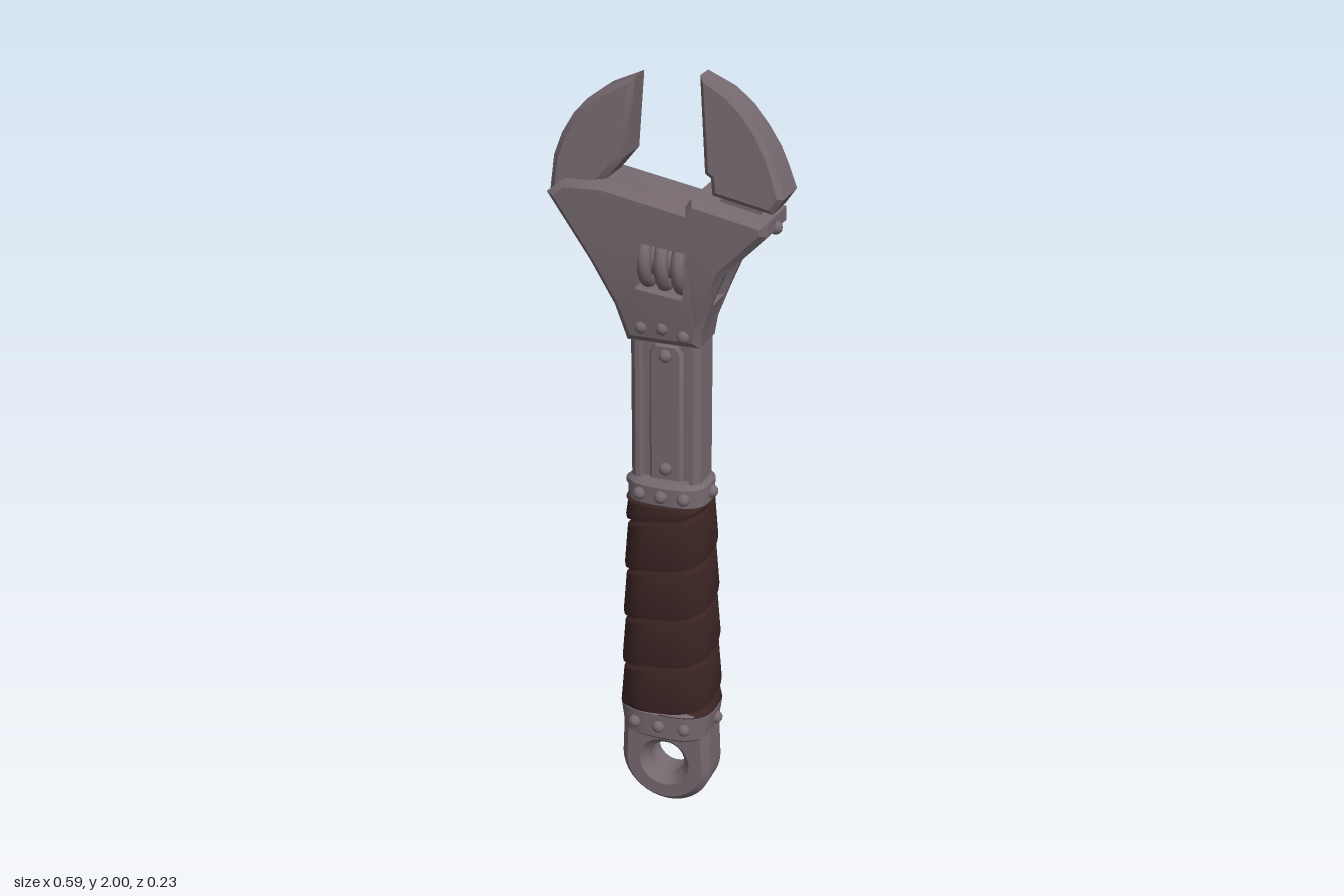
import * as THREE from 'three';
import { toCreasedNormals } from 'three/addons/utils/BufferGeometryUtils.js';

const steel = new THREE.MeshStandardMaterial({ color: 0x75696f });
steel.name = 'steel';
const leather = new THREE.MeshStandardMaterial({ color: 0x3a2423 });
leather.name = 'leather';

const { lerp, clamp, smoothstep } = THREE.MathUtils;
const v2 = (list) => list.map(([x, y]) => new THREE.Vector2(x, y));

// Bevelled plate centred on z, then moved to z and thinned by a rule scale(x, y)
function plate(points, z0, z1, bevel, holes = [], scale = null) {
  const shape = new THREE.Shape(v2(points));
  shape.holes = holes.map((h) => new THREE.Path(v2(h)));
  const geo = new THREE.ExtrudeGeometry(shape, {
    depth: z1 - z0 - 2 * bevel, bevelEnabled: bevel > 0, bevelThickness: bevel,
    bevelSize: bevel * 0.9, bevelOffset: -bevel * 0.9, bevelSegments: 1,
  });
  geo.translate(0, 0, z0 + bevel);
  if (scale) {
    const p = geo.attributes.position;
    for (let i = 0; i < p.count; i++) p.setZ(i, p.getZ(i) * scale(p.getX(i), p.getY(i)));
  }
  return toCreasedNormals(geo, 0.5);
}

// Surface from a grid of points fn(column, row)
function grid(cols, rows, fn) {
  const pos = [], idx = [];
  for (let j = 0; j <= rows; j++) for (let i = 0; i <= cols; i++) pos.push(...fn(i, j));
  for (let j = 0; j < rows; j++) for (let i = 0; i < cols; i++) {
    const a = j * (cols + 1) + i, d = a + cols + 1;
    idx.push(a, a + 1, d + 1, a, d + 1, d);
  }
  const geo = new THREE.BufferGeometry();
  geo.setAttribute('position', new THREE.Float32BufferAttribute(pos, 3));
  geo.setIndex(idx);
  return toCreasedNormals(geo, 0.6);
}

// Point on a rounded-box cross-section, angle from the front towards +x
function oval(t, a, b) {
  const f = (v) => Math.sign(v) * Math.abs(v) ** (2 / 3);
  return [a * f(Math.sin(t)), b * f(Math.cos(t))];
}

// Stack of oval rings [y, half width, half depth]
const loft = (rings) => grid(48, rings.length - 1, (i, j) => {
  const [y, a, b] = rings[j];
  const [x, z] = oval(i / 48 * Math.PI * 2, a, b);
  return [x, y, z];
});

const circle = (cx, cy, r, n) => Array.from({ length: n }, (_, i) => {
  const t = i / n * Math.PI * 2;
  return [cx + r * Math.cos(t), cy + r * Math.sin(t)];
});

export function createModel() {
  const model = new THREE.Group();
  model.name = 'adjustableWrench';
  const add = (name, geo, mat = steel, parent = model) => {
    const mesh = new THREE.Mesh(geo, mat);
    mesh.name = name;
    parent.add(mesh);
    return mesh;
  };
  const rivetGeo = new THREE.SphereGeometry(0.017, 12, 8);
  const rivet = (x, y, z) => add('rivet', rivetGeo).position.set(x, y, z);

  // Hanging eye with a countersunk hole
  const eye = [[0.12, 0.25], [-0.12, 0.25]];
  for (let i = 0; i <= 20; i++) {
    const t = Math.PI * (1 + i / 20);
    eye.push([0.125 * Math.cos(t), 0.128 + 0.125 * Math.sin(t)]);
  }
  add('hangingEye', plate(eye, -0.06, 0.06, 0.022, [circle(0, 0.13, 0.05, 28)]));

  // Collars at both ends of the grip
  const collar = (name, y0, y1, a, b, taper) => {
    const e = 0.01;
    add(name, loft([[y0, 0, 0], [y0, a - e - taper, b - e], [y0 + e, a - taper, b],
      [y1 - e, a, b], [y1, a - e, b - e], [y1, 0, 0]]));
    for (const s of [0, Math.PI]) for (const t of [-0.42, 0, 0.42, Math.PI / 2]) {
      const [x, z] = oval(t + s, a - taper / 2, b);
      rivet(x, (y0 + y1) / 2, z);
    }
  };
  collar('lowerCollar', 0.222, 0.308, 0.13, 0.1, 0.01);
  collar('upperCollar', 0.892, 0.96, 0.107, 0.08, 0);

  // Grip core and the leather strip wound around it
  const gripY0 = 0.3, gripY1 = 0.9;
  const size = (y, d) => {
    const k = (y - gripY0) / (gripY1 - gripY0);
    return [lerp(0.125, 0.106, k) + d, lerp(0.098, 0.09, k) + d];
  };
  const coreRings = [[gripY0, ...size(gripY0, -0.008)], [gripY1, ...size(gripY1, -0.008)],
    [gripY1, 0, 0]];
  add('gripCore', loft(coreRings), leather);
  const pitch = 0.14, turns = 6, perTurn = 48;
  const strip = [[0, -0.012], [0.03, 0.002], [0.12, 0.004], [0.9, -0.001], [1, -0.011]];
  add('gripWrap', grid(turns * perTurn, strip.length - 1, (i, j) => {
    const turn = i / perTurn;
    const y = clamp(gripY0 - pitch + pitch * (turn + strip[j][0]), gripY0, gripY1);
    const [x, z] = oval(turn * Math.PI * 2, ...size(y, strip[j][1]));
    return [x, y, z];
  }), leather);

  // Shaft: chamfered bar with a channel front and back
  const quarter = [[0.062, 0.036], [0.065, 0.055], [0.077, 0.055], [0.092, 0.04]];
  const flip = (sx, sz) => quarter.map(([x, z]) => [sx * x, sz * z]);
  const section = [...flip(1, 1).reverse(), ...flip(-1, 1),
    ...flip(-1, -1).reverse(), ...flip(1, -1)];
  const shaft = plate(section, 0, 0.46, 0);
  shaft.rotateX(-Math.PI / 2);
  add('shaft', shaft).position.y = 0.93;
  const panel = [[-0.045, 0.95], [0.045, 0.95], [0.045, 1.3], [0.03, 1.325],
    [-0.03, 1.325], [-0.045, 1.3]];
  add('shaftPanel', plate(panel, -0.046, 0.046, 0.008));

  // Head: two cheeks with a window around a slotted middle layer
  const left = [[-0.096, 1.33], [-0.125, 1.42], [-0.185, 1.53], [-0.295, 1.69],
    [-0.25, 1.725], [-0.15, 1.73]];
  const top = [[0.06, 1.69], [0.075, 1.715], [0.265, 1.675], [0.265, 1.64], [0.235, 1.61]];
  const right = [[0.16, 1.535], [0.127, 1.455], [0.1, 1.38], [0.092, 1.33]];
  const slot = [[-0.065, 1.612], [-0.08, 1.462]];
  const window = [[-0.065, 1.612], [0.085, 1.595], [0.072, 1.44], [-0.08, 1.462]];
  const headScale = (x, y) => lerp(0.76, 1, smoothstep(y, 1.34, 1.5));
  for (const s of [1, -1]) {
    const [z0, z1] = s > 0 ? [0.036, 0.088] : [-0.088, -0.036];
    add(s > 0 ? 'frontCheek' : 'backCheek',
      plate([...left, ...top, ...right], z0, z1, 0.018, [window], headScale));
    [[-0.055, 1.372], [0, 1.375], [0.055, 1.36]].forEach(([x, y]) => rivet(x, y, s * 0.066));
    rivet(0, 1.295, s * 0.046);
    rivet(0, 0.99, s * 0.046);
  }
  add('headMiddle', plate([...left, ...top, ...slot, [0.12, 1.44], ...right.slice(2)],
    -0.054, 0.054, 0));
  rivet(0.262, 1.643, 0);

  // Fixed jaw, thinner towards its tip
  const jawScale = (x, y) => lerp(1, 0.55, clamp((y - 1.72) / 0.28, 0, 1));
  add('fixedJaw', plate([[-0.08, 1.982], [-0.16, 1.947], [-0.2, 1.918], [-0.235, 1.88],
    [-0.265, 1.83], [-0.285, 1.775], [-0.295, 1.69], [-0.2, 1.6], [-0.13, 1.7],
    [-0.15, 1.73], [-0.1, 1.79]], -0.066, 0.066, 0.018, [], jawScale));

  // Sliding jaw and the tongue that holds it in the head
  add('slidingJaw', plate([[0.08, 1.998], [0.1, 1.77], [0.115, 1.76], [0.12, 1.72],
    [0.27, 1.69], [0.297, 1.73], [0.28, 1.78], [0.26, 1.83], [0.23, 1.88],
    [0.195, 1.925], [0.15, 1.965]], -0.063, 0.063, 0.014, [], jawScale));
  add('jawTongue', plate([[0.13, 1.66], [0.23, 1.64], [0.24, 1.72], [0.14, 1.74]],
    -0.035, 0.035, 0));

  // Adjusting worm in the window
  const worm = new THREE.Group();
  worm.name = 'adjustingWorm';
  worm.position.set(0.004, 1.528, 0);
  worm.rotation.z = -0.11;
  model.add(worm);
  const core = new THREE.CylinderGeometry(0.045, 0.045, 0.15, 20);
  core.rotateZ(Math.PI / 2);
  add('wormCore', core, steel, worm);
  const ring = new THREE.TorusGeometry(0.062, 0.017, 10, 28);
  ring.rotateY(Math.PI / 2);
  for (let i = 0; i < 4; i++) {
    const thread = add('wormThread', ring, steel, worm);
    thread.position.x = -0.06 + i * 0.044;
    thread.rotation.z = 0.12;
    thread.rotation.y = 0.1;
  }
  const pin = new THREE.CylinderGeometry(0.016, 0.016, 0.2, 12);
  pin.rotateZ(Math.PI / 2);
  add('wormPin', pin, steel, worm);
  return model;
}
